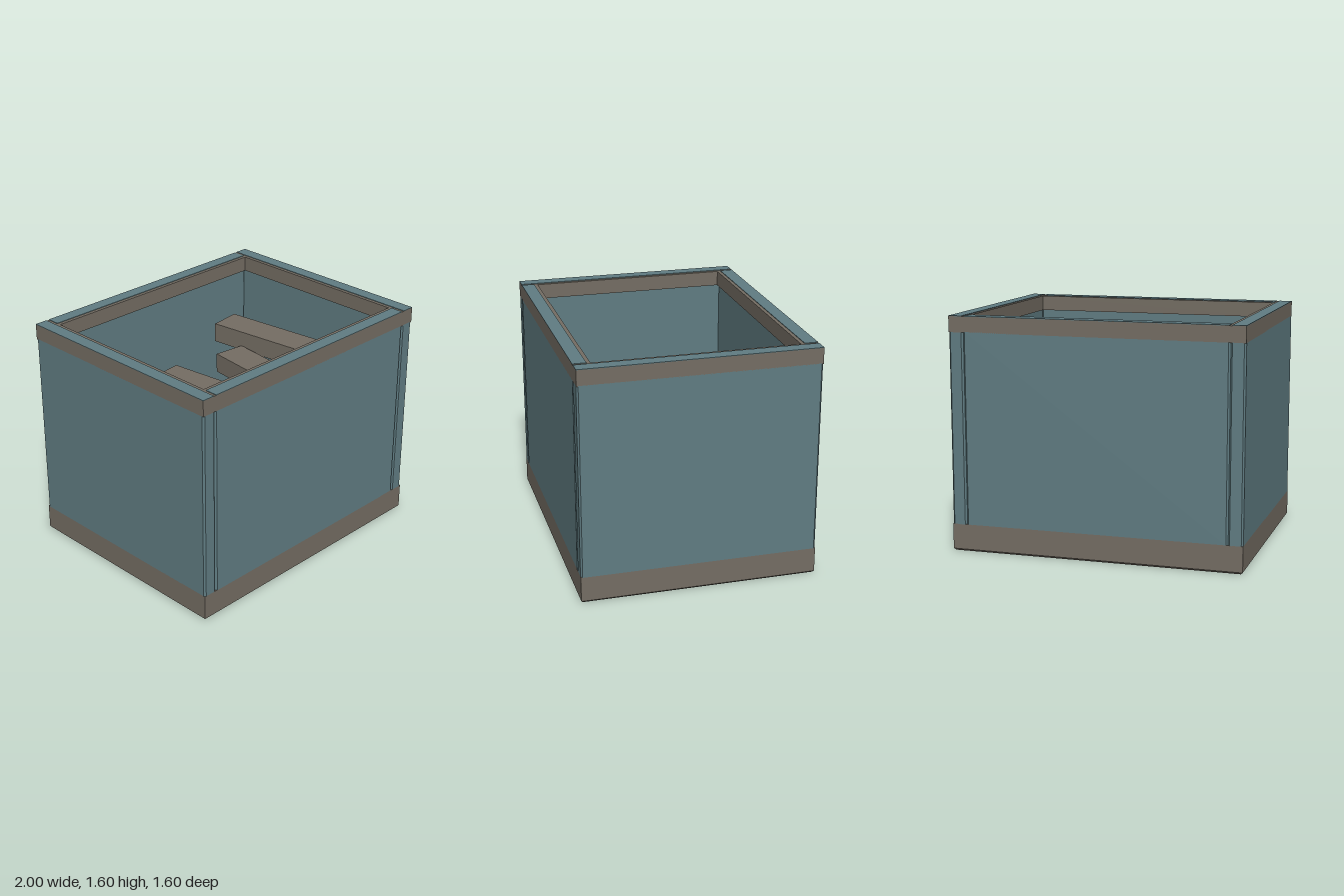
import * as THREE from 'three';

const panelBlue = new THREE.MeshStandardMaterial({ name: 'panelBlue', color: 0x607c82 });
const trimBrown = new THREE.MeshStandardMaterial({ name: 'trimBrown', color: 0x746d63 });

function add(parent, name, geometry, material, x = 0, y = 0, z = 0) {
  const mesh = new THREE.Mesh(geometry, material);
  mesh.name = name;
  mesh.position.set(x, y, z);
  parent.add(mesh);
  return mesh;
}

// Upright panel whose four vertical edges are chamfered
function panelGeometry(w, d, height, c = 0.012) {
  const x = w / 2, z = d / 2;
  const shape = new THREE.Shape([
    [-x + c, -z], [x - c, -z], [x, -z + c], [x, z - c],
    [x - c, z], [-x + c, z], [-x, z - c], [-x, -z + c],
  ].map(([a, b]) => new THREE.Vector2(a, b)));
  return new THREE.ExtrudeGeometry(shape, { depth: height, bevelEnabled: false }).rotateX(-Math.PI / 2);
}

// Slab whose bottom edge is chamfered
function baseGeometry(w, h, d, c) {
  const box = new THREE.BoxGeometry(w, h, d, 1, 2, 1).translate(0, h / 2, 0);
  const p = box.attributes.position;
  for (let i = 0; i < p.count; i++) {
    const y = p.getY(i);
    if (y < h * 0.25) {
      p.setX(i, Math.sign(p.getX(i)) * (w / 2 - c));
      p.setZ(i, Math.sign(p.getZ(i)) * (d / 2 - c));
    } else if (y < h * 0.75) p.setY(i, c);
  }
  const flat = box.toNonIndexed();
  flat.computeVertexNormals();
  return flat;
}

// Rectangular ring lying flat
function frameGeometry(w, d, innerW, innerD, height) {
  const rect = (T, a, b) => new T([
    new THREE.Vector2(-a / 2, -b / 2), new THREE.Vector2(a / 2, -b / 2),
    new THREE.Vector2(a / 2, b / 2), new THREE.Vector2(-a / 2, b / 2),
  ]);
  const shape = rect(THREE.Shape, w, d);
  shape.holes.push(rect(THREE.Path, innerW, innerD));
  return new THREE.ExtrudeGeometry(shape, { depth: height, bevelEnabled: false }).rotateX(-Math.PI / 2);
}

export function createModel() {
  const model = new THREE.Group();
  model.name = 'openCrate';

  add(model, 'base', baseGeometry(2, 0.187, 1.6, 0.014), trimBrown);
  add(model, 'rim', frameGeometry(2, 1.6, 1.77, 1.37, 0.106), trimBrown, 0, 1.49, 0);

  // Walls, with their top faces showing on the rim
  for (const s of [-1, 1]) {
    const side = s > 0 ? 'left' : 'right';
    const end = s > 0 ? 'front' : 'back';
    add(model, side + 'Wall', panelGeometry(0.1, 1.6, 1.31), panelBlue, s * 0.95, 0.184, 0);
    add(model, end + 'Wall', panelGeometry(1.8, 0.1, 1.31), panelBlue, 0, 0.184, s * 0.75);
    add(model, side + 'Cap', new THREE.BoxGeometry(0.09, 0.005, 1.6), panelBlue, s * 0.955, 1.5975, 0);
    add(model, end + 'Cap', new THREE.BoxGeometry(1.78, 0.005, 0.09), panelBlue, 0, 1.5975, s * 0.755);
  }

  // Blocks inside, each higher than the last and turned alternately
  for (let i = 0; i < 5; i++) {
    const s = i % 2 ? 1 : -1;
    const block = add(model, 'block' + (i + 1), new THREE.BoxGeometry(0.23, 0.14, 0.895), trimBrown,
      -0.6 + i * 0.3, 0.725 + i * 0.11, s * 0.12);
    block.rotation.y = -s * 0.117;
  }
  return model;
}
